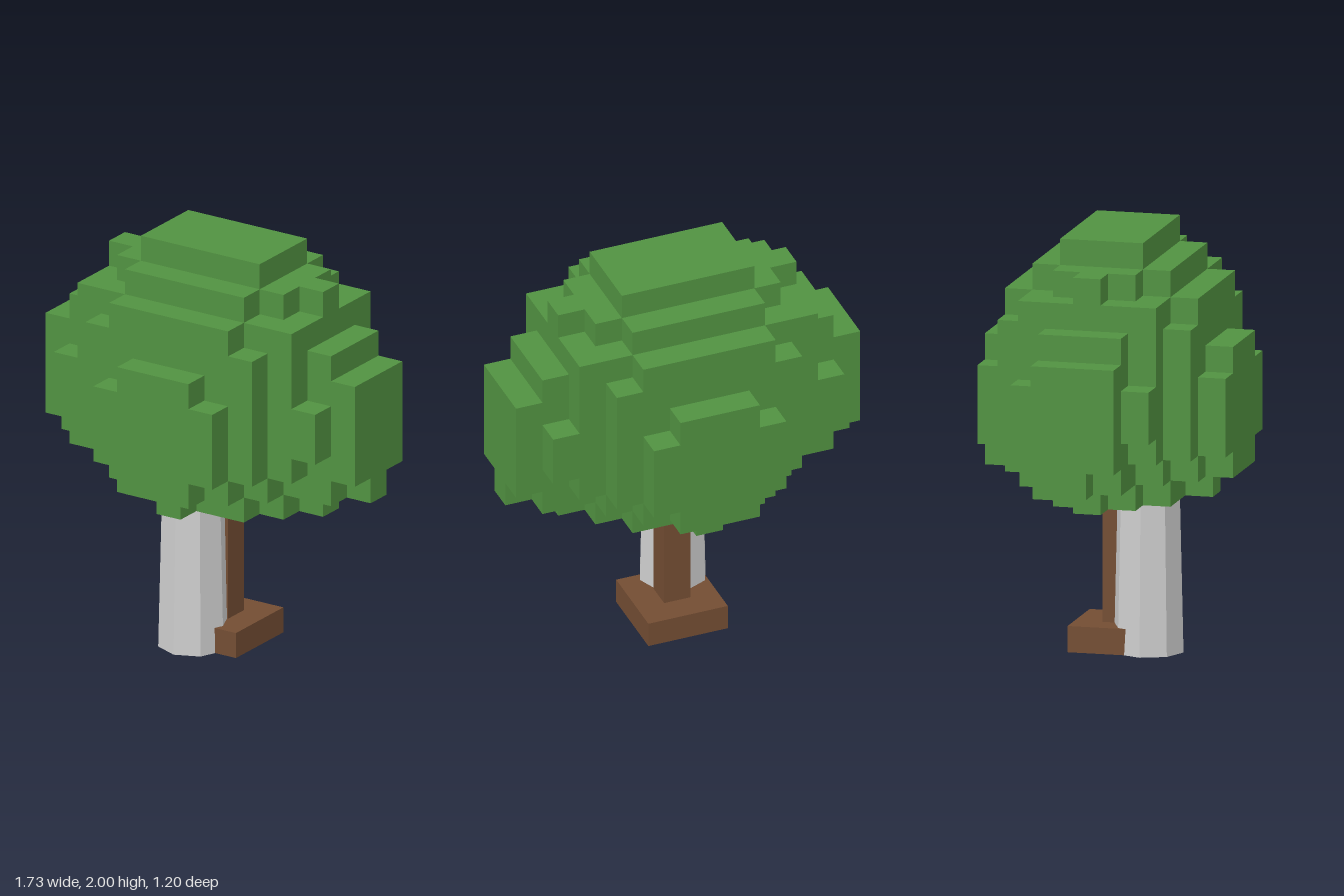
import * as THREE from 'three';

const CELL = 2 / 15;   // horizontal block size
const LAYER = 0.125;   // block height
const FIRST = 6;       // level of the lowest leaf layer

// Half widths in blocks for rows at distance 0, 1, 2... from the middle, lowest layer first
const LEAF_LAYERS = [
  [4, 3, 2, 0],
  [6, 5, 3, 2, 1],
  [6, 6, 4, 3, 2],
  [6, 6, 5, 3, 2],
  [6, 6, 5, 3, 2],
  [6, 6, 4, 3, 1],
  [5, 5, 4, 3],
  [4, 4, 4, 2],
  [4, 3, 2],
  [2, 2],
];

// Stepped outline, mirrored left to right and front to back
function layerShape(rows) {
  const n = rows.length - 1;
  const right = [];
  for (let z = -n; z <= n; z++) {
    const w = (rows[Math.abs(z)] + 0.5) * CELL;
    const last = right[right.length - 1];
    if (last && last.x === w) last.y = (z + 0.5) * CELL;
    else right.push(new THREE.Vector2(w, (z - 0.5) * CELL), new THREE.Vector2(w, (z + 0.5) * CELL));
  }
  const left = right.map((p) => new THREE.Vector2(-p.x, p.y)).reverse();
  return new THREE.Shape([...right, ...left]);
}

export function createModel() {
  const leafGreen = new THREE.MeshStandardMaterial({ color: 0x519241 });
  const barkBrown = new THREE.MeshStandardMaterial({ color: 0x734d33 });
  const paleGrey = new THREE.MeshStandardMaterial({ color: 0xcdcdcd });
  leafGreen.name = 'leafGreen';
  barkBrown.name = 'barkBrown';
  paleGrey.name = 'paleGrey';

  const model = new THREE.Group();
  model.name = 'blockTree';
  const add = (parent, name, geometry, material, x, y, z) => {
    const mesh = new THREE.Mesh(geometry, material);
    mesh.name = name;
    mesh.position.set(x, y, z);
    parent.add(mesh);
  };

  // Leaf crown, one stepped slab per layer
  const crown = new THREE.Group();
  crown.name = 'crown';
  model.add(crown);
  LEAF_LAYERS.forEach((rows, i) => {
    const slab = new THREE.ExtrudeGeometry(layerShape(rows), { depth: LAYER, bevelEnabled: false });
    slab.rotateX(-Math.PI / 2);
    add(crown, `leafLayer${i + 1}`, slab, leafGreen, 0, (FIRST + i) * LAYER, 0);
  });

  // Trunk and its square foot
  const trunkHeight = 5 * LAYER;
  add(model, 'trunk', new THREE.BoxGeometry(CELL, trunkHeight, CELL), barkBrown, 0, LAYER + trunkHeight / 2, 0);
  add(model, 'trunkFoot', new THREE.BoxGeometry(3 * CELL, LAYER, 3 * CELL), barkBrown, 0, LAYER / 2, 0);

  // Tapered eight-sided post beside the trunk, ending inside the crown
  const post = new THREE.CylinderGeometry(0.147, 0.168, 0.9, 8).toNonIndexed();
  post.computeVertexNormals();
  add(model, 'greyPost', post, paleGrey, -CELL / 2, 0.45, 0.157);

  return model;
}
